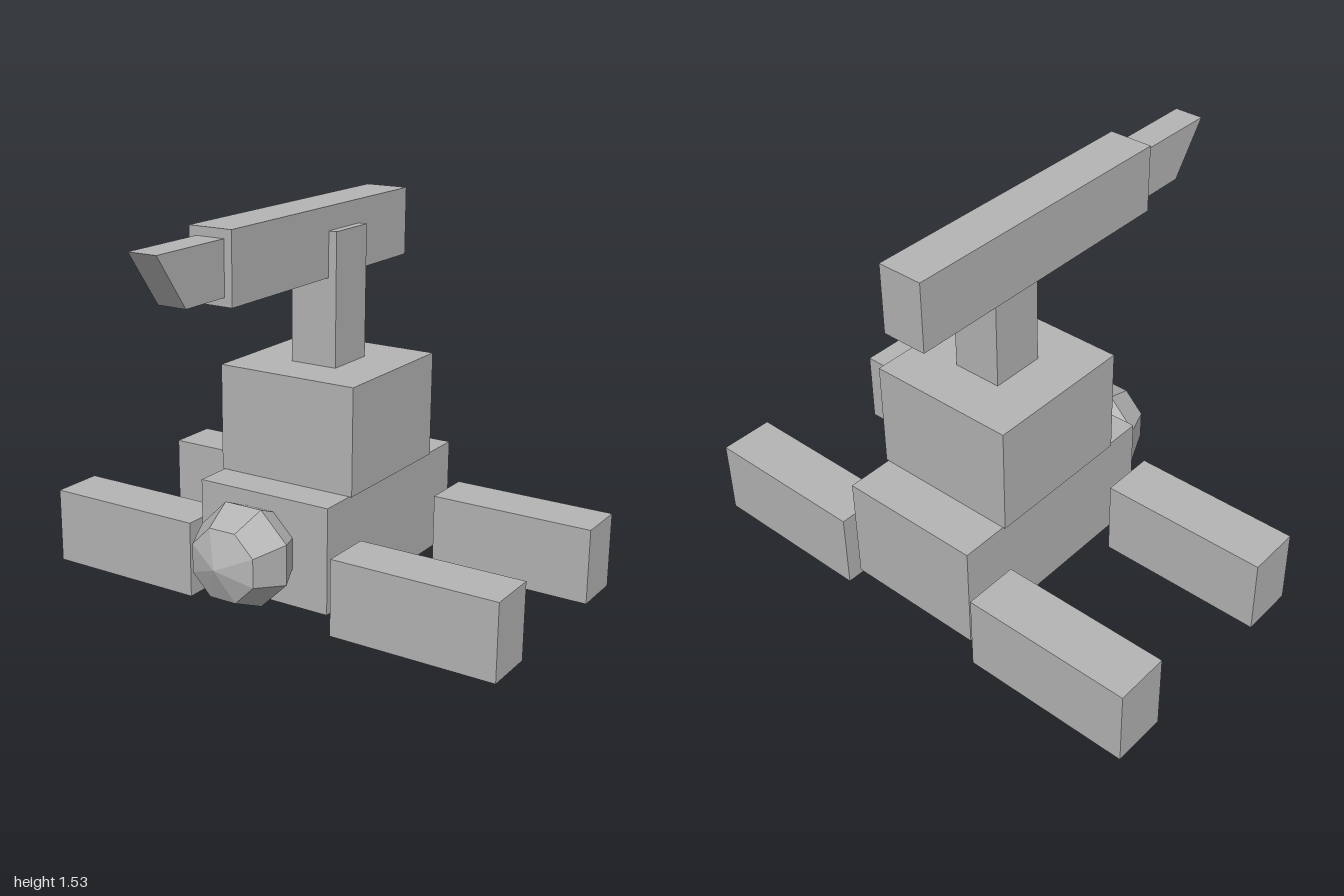
import * as THREE from 'three';

const grey = new THREE.MeshStandardMaterial({ color: 0xb4b4b4, flatShading: true });
grey.name = 'plain grey';

// Box given by its limits on each axis
function block(name, [x0, x1], [y0, y1], [z0, z1]) {
  const mesh = new THREE.Mesh(new THREE.BoxGeometry(x1 - x0, y1 - y0, z1 - z0), grey);
  mesh.position.set((x0 + x1) / 2, (y0 + y1) / 2, (z0 + z1) / 2);
  mesh.name = name;
  return mesh;
}

export function createModel() {
  const model = new THREE.Group();
  model.name = 'model';

  // Stacked body and tail
  model.add(
    block('lowerBody', [-0.288, 0.286], [0.062, 0.486], [-0.775, 0.172]),
    block('upperBody', [-0.298, 0.296], [0.486, 0.91], [-0.587, 0.02]),
    block('tailPost', [-0.1, 0.098], [0.91, 1.435], [-0.392, -0.174]),
    block('tailBeam', [-0.116, 0.064], [1.257, 1.528], [-0.756, 0.442])
  );

  // Stinger: side profile (z, y) extruded across x
  const profile = new THREE.Shape([
    new THREE.Vector2(0.442, 1.29), new THREE.Vector2(0.658, 1.29),
    new THREE.Vector2(0.806, 1.494), new THREE.Vector2(0.442, 1.494),
  ]);
  const stingerGeo = new THREE.ExtrudeGeometry(profile, { depth: 0.118, bevelEnabled: false });
  stingerGeo.rotateY(-Math.PI / 2);
  const stinger = new THREE.Mesh(stingerGeo, grey);
  stinger.position.x = 0.032;
  stinger.name = 'stinger';
  model.add(stinger);

  // Eight-sided head with its pole facing forward
  const headGeo = new THREE.SphereGeometry(0.209, 8, 4);
  headGeo.rotateY(Math.PI / 8);
  headGeo.rotateX(Math.PI / 2);
  headGeo.scale(1, 1, 0.91);
  const head = new THREE.Mesh(headGeo, grey);
  head.position.set(-0.016, 0.275, 0.278);
  head.name = 'head';
  model.add(head);

  // Four legs reaching out to the sides
  for (const [end, z] of [['front', [-0.01, 0.206]], ['back', [-0.806, -0.59]]]) {
    model.add(
      block(end + 'LeftLeg', [0.321, 1], [0, 0.308], z),
      block(end + 'RightLeg', [-1, -0.324], [0, 0.308], z)
    );
  }
  return model;
}
